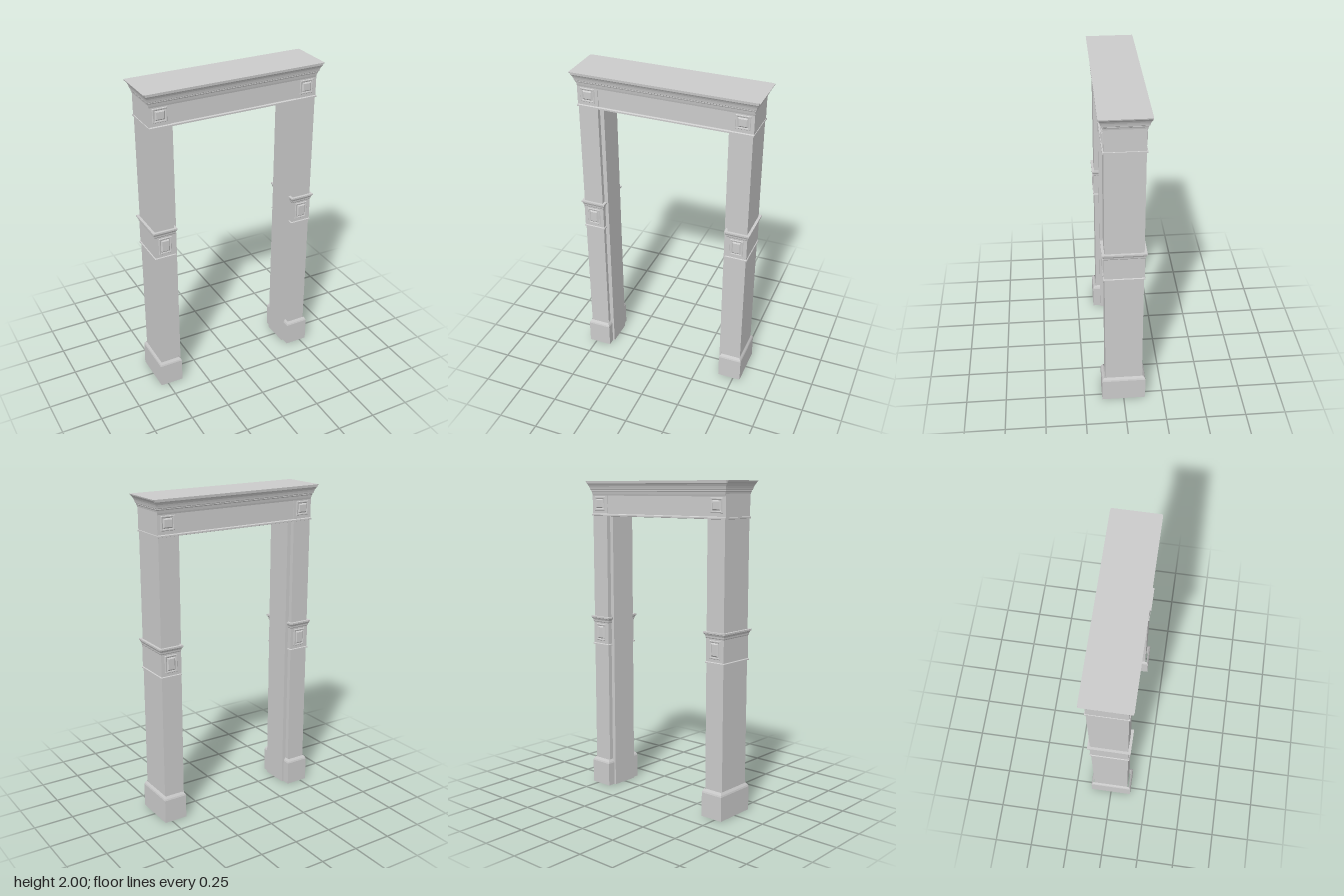
import * as THREE from 'three';

const material = new THREE.MeshStandardMaterial({ color: 0xcccccc, flatShading: true, side: THREE.DoubleSide });

// Rectangular moulding: rings of [height, outward offset] around a hx by hz half-size core
function moulding(name, hx, hz, profile, { top = true, bottom = true } = {}) {
  const rings = profile.map(([y, o]) => [
    [hx + o, y, hz + o], [hx + o, y, -hz - o], [-hx - o, y, -hz - o], [-hx - o, y, hz + o],
  ]);
  const pos = [];
  const quad = (a, b, c, d) => pos.push(...a, ...b, ...c, ...a, ...c, ...d);
  for (let r = 0; r < rings.length - 1; r++) {
    for (let i = 0; i < 4; i++) {
      const j = (i + 1) % 4;
      quad(rings[r][i], rings[r][j], rings[r + 1][j], rings[r + 1][i]);
    }
  }
  if (top) quad(...rings[rings.length - 1]);
  if (bottom) quad(...[...rings[0]].reverse());
  const geometry = new THREE.BufferGeometry();
  geometry.setAttribute('position', new THREE.Float32BufferAttribute(pos, 3));
  geometry.computeVertexNormals();
  const mesh = new THREE.Mesh(geometry, material);
  mesh.name = name;
  return mesh;
}

const OPEN = { top: false, bottom: false };
const PX = 0.472, HX = 0.062, HZ = 0.115; // pillar centre and half sizes

// Raised square frame with a small pyramid block inside, on the front and back
function addPanels(parent, name, y, hx, hy, z) {
  for (const s of [1, -1]) {
    const panel = moulding(name, hx, hy, [
      [0, 0], [0.004, -0.003], [0.004, -0.008], [0.001, -0.014], [0.008, -0.022],
    ], { bottom: false });
    panel.rotation.x = s * Math.PI / 2;
    panel.position.set(0, y, s * z);
    parent.add(panel);
  }
}

function makePillar(side) {
  const pillar = new THREE.Group();
  pillar.name = side > 0 ? 'leftPillar' : 'rightPillar';
  pillar.position.x = side * PX;

  pillar.add(moulding('shaft', HX, HZ, [[0.16, 0], [1.79, 0]], OPEN));

  // Plinth with a sloped top edge, hollow underneath
  pillar.add(moulding('plinth', HX, HZ, [
    [0, 0.012], [0.15, 0.012], [0.16, 0.009], [0.175, 0],
  ].map(([y, o]) => [y, o]), OPEN));
  // The plinth projects further on the front, back and outer side
  const plinth = pillar.children[1];
  plinth.scale.z = 0.137 / (HZ + 0.012);

  // Middle band: lower bead, flat field, flared cap
  pillar.add(moulding('middleBand', HX, HZ, [
    [0.944, 0], [0.946, 0.008], [0.953, 0.008], [0.957, 0.003], [1.095, 0.003],
    [1.1, 0.006], [1.11, 0.007], [1.122, 0.013], [1.124, 0.016], [1.134, 0.016], [1.134, 0],
  ], OPEN));
  addPanels(pillar, 'middlePanel', 1.03, 0.042, 0.055, HZ + 0.003);

  // Shallower jamb strip lining the opening
  const jamb = moulding('jamb', 0.0175, 0.0875, [[0, 0], [1.79, 0]], OPEN);
  jamb.position.x = -side * (PX - 0.4025);
  pillar.add(jamb);

  // Block of the lintel above the pillar
  pillar.add(moulding('endBlock', 0.066, HZ, [[1.79, 0], [1.945, 0]], OPEN));
  addPanels(pillar, 'endPanel', 1.86, 0.045, 0.043, HZ);
  return pillar;
}

export function createModel() {
  const model = new THREE.Group();
  model.name = 'portal';
  model.add(makePillar(1), makePillar(-1));

  // Lintel: bead along the bottom, plain frieze, stepped cornice
  model.add(moulding('lintelBead', 0.534, HZ, [
    [1.782, 0], [1.784, 0.007], [1.793, 0.007], [1.797, 0],
  ]));
  model.add(moulding('frieze', 0.534, 0.111, [[1.785, 0], [1.95, 0]]));
  model.add(moulding('cornice', 0.534, HZ, [
    [1.91, 0], [1.92, 0.003], [1.935, 0.006], [1.94, 0.009], [1.945, 0.009], [1.948, 0.013],
    [1.958, 0.015], [1.968, 0.018], [1.978, 0.023], [1.985, 0.028], [1.99, 0.028], [2, 0.028],
  ].map(([y, o]) => [y, y >= 1.985 ? o + (y - 1.985) * 0.1 : o])));
  // The crowning slab reaches a little further to the sides
  model.add(moulding('crown', 0.562, 0.131, [[1.976, -0.01], [1.986, 0.002], [1.993, 0.009], [2, 0.011]]));
  return model;
}
